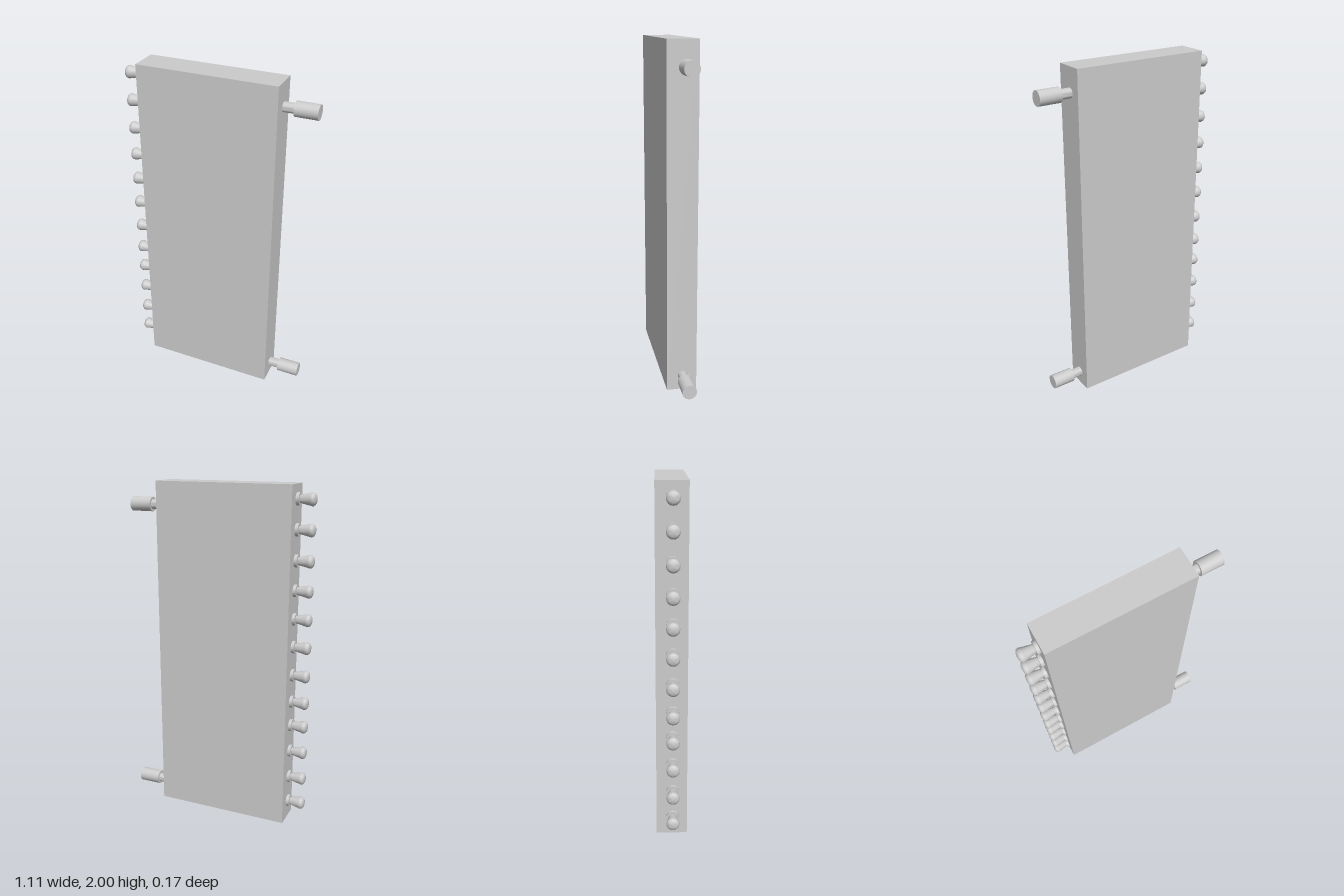
import * as THREE from 'three';
import { toCreasedNormals } from 'three/addons/utils/BufferGeometryUtils.js';

export function createModel() {
  const model = new THREE.Group();
  const material = new THREE.MeshStandardMaterial({ color: 0xcccccc });

  const add = (name, geometry, x, y, z) => {
    const mesh = new THREE.Mesh(geometry, material);
    mesh.name = name;
    mesh.position.set(x, y, z);
    model.add(mesh);
  };

  // Turned part from [radius, length] pairs; axis along +x (dir 1) or -x (dir -1)
  const turned = (profile, dir, sides) => {
    const points = profile.map(([r, l]) => new THREE.Vector2(r, l));
    const geometry = new THREE.LatheGeometry(points, sides).rotateZ(-dir * Math.PI / 2);
    return toCreasedNormals(geometry, 0.7);
  };

  // Flat slab
  add('panel', new THREE.BoxGeometry(0.81, 2, 0.175), -0.045, 1, 0);

  // Stepped hinge pins on the left edge
  const pin = turned([
    [0, -0.01], [0.028, -0.01], [0.028, 0.065], [0.042, 0.065], [0.042, 0.195], [0, 0.195],
  ], 1, 24);
  for (const y of [0.086, 1.861]) add('hingePin', pin, 0.36, y, -0.006);

  // Row of flared knobs with a collar on the right edge
  const knob = turned([
    [0, -0.005], [0.036, -0.005], [0.036, 0.018], [0.022, 0.018], [0.035, 0.077],
    [0.037, 0.084], [0.036, 0.092], [0.031, 0.1], [0.022, 0.105], [0, 0.108],
  ], -1, 16);
  const heights = [0.111, 0.275, 0.445, 0.61, 0.759, 0.923, 1.093, 1.257, 1.42, 1.587, 1.756, 1.92];
  for (const y of heights) add('knob', knob, -0.45, y, 0.005);

  return model;
}
